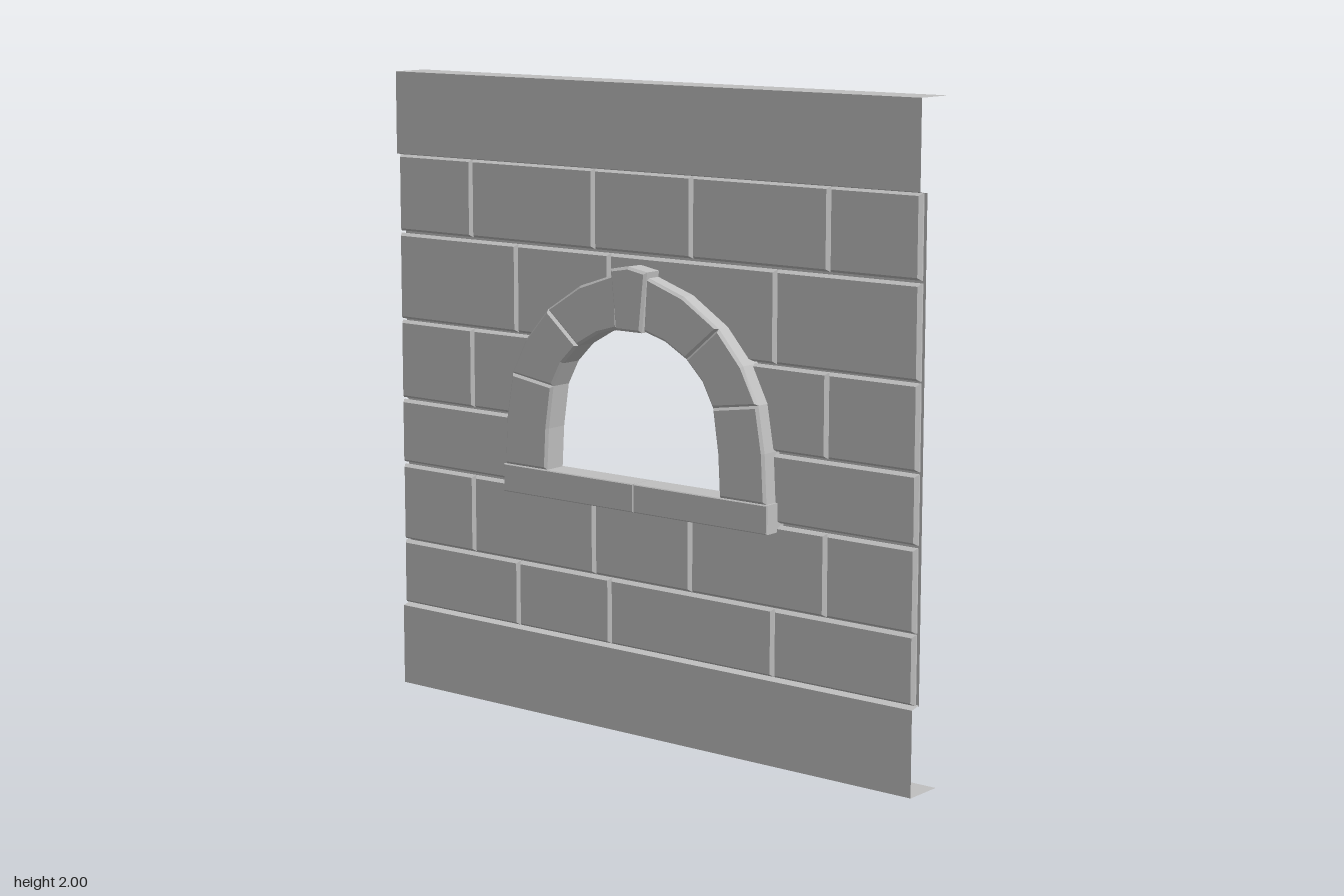
import * as THREE from 'three';

const stone = new THREE.MeshStandardMaterial({ color: 0xc0c0c0, side: THREE.DoubleSide });
stone.name = 'grey stone';

const toShape = (pts) => new THREE.Shape(pts.map(([x, y]) => new THREE.Vector2(x, y)));
const mirror = (pts) => pts.map(([x, y]) => [-x, y]).reverse();

// A stone block: outline pulled forward from z0 to z1 with chamfered edges inside the outline
function block(name, pts, z0, z1, size, thickness) {
  const geo = new THREE.ExtrudeGeometry(toShape(pts), {
    depth: z1 - z0 - 2 * thickness, steps: 1, bevelEnabled: true, bevelSegments: 1,
    bevelSize: size, bevelOffset: -size, bevelThickness: thickness,
  });
  geo.translate(0, 0, z0 + thickness);
  const mesh = new THREE.Mesh(geo, stone);
  mesh.name = name;
  return mesh;
}

// A sheet swept across the whole width from a [y, z] profile
function band(name, profile) {
  const grid = new THREE.PlaneGeometry(2, 1, 1, profile.length - 1);
  const pos = grid.attributes.position;
  for (let i = 0; i < pos.count; i++) {
    const [y, z] = profile[Math.floor(i / 2)];
    pos.setXYZ(i, pos.getX(i), y, z);
  }
  const geo = grid.toNonIndexed();
  geo.computeVertexNormals();
  const mesh = new THREE.Mesh(geo, stone);
  mesh.name = name;
  return mesh;
}

export function createModel() {
  const wall = new THREE.Group();
  wall.name = 'wallWithArchedWindow';

  // Plain bands with flanges running back
  const lower = [[0.268, 0], [0.26, 0.035], [0, 0.035], [0, -0.095]];
  wall.add(band('bottomBand', lower));
  wall.add(band('topBand', lower.map(([y, z]) => [2 - y, z]).reverse()));

  // Arch outline, right half, from the sill up to the keystone
  const inner = [[0.337, 0.8], [0.33, 0.93], [0.31, 1.065], [0.27, 1.14], [0.21, 1.2], [0.13, 1.245], [0.05, 1.268]];
  const outer = [[0.508, 0.8], [0.5, 0.95], [0.476, 1.09], [0.42, 1.2], [0.33, 1.302], [0.2, 1.385], [0.06, 1.432]];
  const mid = inner.map(([x, y], i) => [x * 0.7 + outer[i][0] * 0.3, y * 0.7 + outer[i][1] * 0.3]);

  // Mortar sheet with the window opening
  const sheet = toShape([[-1, 0.265], [1, 0.265], [1, 1.735], [-1, 1.735]]);
  sheet.holes.push(toShape([[-mid[0][0], 0.77], [mid[0][0], 0.77], ...mid, ...mirror(mid)]));
  const mortar = new THREE.Mesh(new THREE.ShapeGeometry(sheet), stone);
  mortar.name = 'mortarSheet';
  wall.add(mortar);

  // Brick courses
  const bricks = new THREE.Group();
  bricks.name = 'bricks';
  wall.add(bricks);
  const addBrick = (pts) => bricks.add(block('brick', pts, 0.001, 0.031, 0.008, 0.012));
  const rect = (x0, x1, y0, y1, lean = 0) => [[x0, y0], [x1 - lean, y0], [x1 + lean, y1], [x0, y1]];
  const course = (y0, y1, xs) => {
    for (let i = 0; i < xs.length - 1; i++) addBrick(rect(xs[i] + 0.001, xs[i + 1] - 0.001, y0, y1));
  };
  course(1.492, 1.737, [-1, -0.687, -0.187, 0.19, 0.687, 1]);
  course(0.482, 0.73, [-1, -0.687, -0.187, 0.19, 0.687, 1]);
  course(0.27, 0.478, [-1, -0.5, -0.125, 0.5, 1]);

  // Bricks cut to fit around the arch
  for (const side of [1, -1]) {
    const fit = (pts) => addBrick(side > 0 ? pts : mirror(pts));
    fit(rect(0.501, 1, 1.208, 1.484));
    fit(rect(0.688, 1, 0.95, 1.202));
    fit([[0.42, 0.95], [0.686, 0.95], [0.686, 1.202], [0.32, 1.202]]);
    fit(rect(0.43, 1, 0.738, 0.943));
  }
  addBrick([[-0.499, 1.208], [-0.31, 1.208], [-0.27, 1.25], [-0.126, 1.33], [-0.126, 1.484], [-0.499, 1.484]]);
  addBrick([[-0.124, 1.33], [0, 1.36], [0.125, 1.33], [0.27, 1.25], [0.31, 1.208], [0.499, 1.208],
    [0.499, 1.484], [-0.124, 1.484]]);

  // Arch stones, three on each side
  for (let i = 0; i < 6; i += 2) {
    const pts = [...outer.slice(i, i + 3), ...inner.slice(i, i + 3).reverse()];
    wall.add(block('leftArchStone', pts, -0.005, 0.083, 0.008, 0.008));
    wall.add(block('rightArchStone', mirror(pts), -0.005, 0.083, 0.008, 0.008));
  }

  // Keystone
  wall.add(block('keystone',
    [[-0.05, 1.264], [0.05, 1.264], [0.07, 1.448], [0, 1.46], [-0.07, 1.448]], -0.013, 0.095, 0.008, 0.008));

  // Window sill in two pieces
  wall.add(block('rightSill', rect(-0.512, 0.01, 0.712, 0.8), -0.005, 0.083, 0.003, 0.003));
  wall.add(block('leftSill', rect(0.012, 0.515, 0.712, 0.8), -0.005, 0.083, 0.003, 0.003));

  return wall;
}
